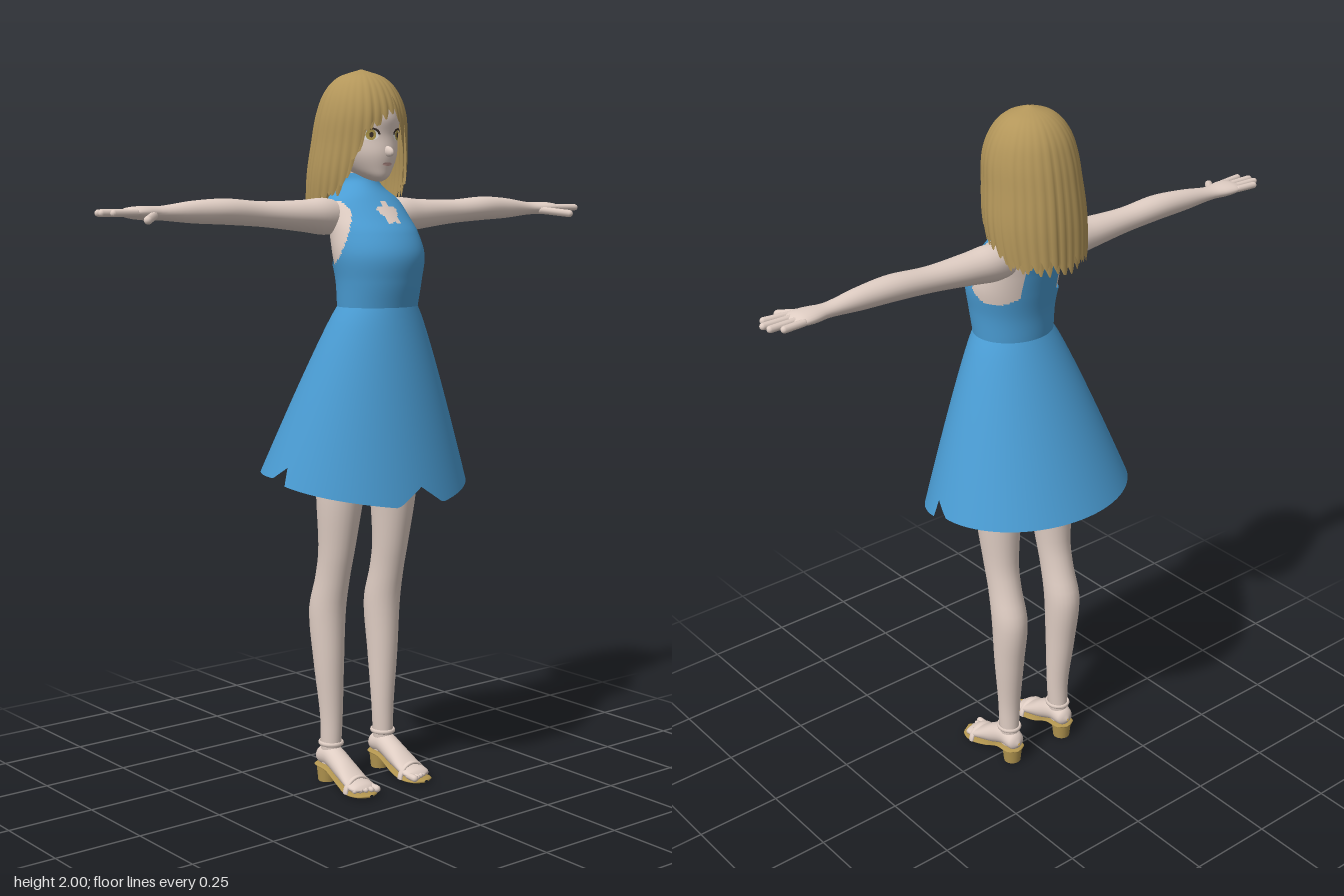
import * as THREE from 'three';

const mat = (name, color, side = THREE.FrontSide) => {
  const m = new THREE.MeshStandardMaterial({ color, side });
  m.name = name;
  return m;
};
const { sin, cos, PI, abs, floor, hypot } = Math;

// Smooth interpolation of rows [key, ...values]
function sample(rows, k) {
  k = Math.min(Math.max(k, rows[0][0]), rows.at(-1)[0]);
  let i = 0;
  while (i < rows.length - 2 && k > rows[i + 1][0]) i++;
  const r = (j) => rows[Math.min(Math.max(j, 0), rows.length - 1)];
  const p = r(i), q = r(i + 1), h = q[0] - p[0], t = (k - p[0]) / h;
  return p.map((_, c) => {
    const m0 = (q[c] - r(i - 1)[c]) / (q[0] - r(i - 1)[0]) * h;
    const m1 = (r(i + 2)[c] - p[c]) / (r(i + 2)[0] - p[0]) * h;
    const d = q[c] - p[c];
    return p[c] + t * (m0 + t * (3 * d - 2 * m0 - m1 + t * (m0 + m1 - 2 * d)));
  });
}
// Straight interpolation of pairs [key, value]
function linear(table, k) {
  let i = 0;
  while (i < table.length - 2 && k > table[i + 1][0]) i++;
  const [a, b] = [table[i], table[i + 1]];
  return THREE.MathUtils.mapLinear(THREE.MathUtils.clamp(k, a[0], b[0]), a[0], b[0], a[1], b[1]);
}
// Closed ring grid: f(column, v) gives a point, skip(x, y, z) leaves a hole
function grid(cols, rings, f, skip) {
  const pos = [], index = [];
  for (let j = 0; j <= rings; j++) for (let i = 0; i < cols; i++) pos.push(...f(i, j / rings));
  for (let j = 0; j < rings; j++) for (let i = 0; i < cols; i++) {
    const n = (i + 1) % cols, a = j * cols + i, b = j * cols + n, c = b + cols, d = a + cols;
    const mid = [0, 1, 2].map((k) => (pos[a * 3 + k] + pos[c * 3 + k]) / 2);
    if (!skip || !skip(...mid)) index.push(a, b, c, a, c, d);
  }
  const g = new THREE.BufferGeometry();
  g.setAttribute('position', new THREE.Float32BufferAttribute(pos, 3));
  g.setIndex(index);
  g.computeVertexNormals();
  return g;
}
// Loft through rows [s, a, b, radiusA, radiusB]
const alongY = (s, p, q) => [p, s, q], alongX = (s, p, q) => [s, q, p], alongZ = (s, p, q) => [-p, q, s];
function loft(rows, place = alongY, cols = 24, rings = 40) {
  const s0 = rows[0][0], s1 = rows.at(-1)[0];
  return grid(cols, rings, (i, v) => {
    const [s, a, b, ra, rb] = sample(rows, s0 + (s1 - s0) * v), t = i / cols * 2 * PI;
    return place(s, a + ra * sin(t), b + rb * cos(t));
  });
}
// Rows [y, half width, front z, back z] to loft rows
const body = (rows, inset = 0) => rows.map(([y, w, f, b]) => [y, 0, (f + b) / 2, w - inset, (f - b) / 2 - inset]);

function mirrored(geo) {
  const g = geo.clone().toNonIndexed().scale(-1, 1, 1);
  for (const at of Object.values(g.attributes)) {
    const n = at.itemSize, a = at.array;
    for (let i = 0; i < a.length; i += 3 * n) for (let k = 0; k < n; k++)
      [a[i + n + k], a[i + 2 * n + k]] = [a[i + 2 * n + k], a[i + n + k]];
  }
  // scaling already mirrors the normals
  return g;
}
function finger(a, b, r) {
  const p = new THREE.Vector3(...a), q = new THREE.Vector3(...b), d = q.clone().sub(p);
  const g = new THREE.CapsuleGeometry(r, d.length() - r, 4, 10);
  g.applyQuaternion(new THREE.Quaternion().setFromUnitVectors(new THREE.Vector3(0, 1, 0), d.clone().normalize()));
  return g.translate(...p.add(q).multiplyScalar(0.5).toArray());
}

const TORSO = [[1.36, 0.116, 0.165, -0.04], [1.43, 0.122, 0.18, -0.045], [1.5, 0.132, 0.186, -0.06],
  [1.56, 0.128, 0.16, -0.075], [1.6, 0.122, 0.125, -0.085], [1.65, 0.105, 0.08, -0.085],
  [1.68, 0.065, 0.055, -0.075], [1.7, 0.044, 0.044, -0.058], [1.72, 0.039, 0.04, -0.05]];
const HEAD = [[1.697, 0.004, 0.075, 0.06], [1.706, 0.026, 0.092, 0.02], [1.73, 0.053, 0.1, -0.04],
  [1.77, 0.077, 0.106, -0.08], [1.82, 0.091, 0.1, -0.105], [1.87, 0.098, 0.102, -0.115],
  [1.93, 0.083, 0.075, -0.095], [1.975, 0.03, 0.02, -0.04], [1.982, 0.003, -0.005, -0.015]];
const HAIR = [[1.56, 0.122, 0.04, -0.165], [1.65, 0.135, 0.08, -0.162], [1.72, 0.138, 0.1, -0.158],
  [1.8, 0.131, 0.11, -0.148], [1.88, 0.122, 0.112, -0.132], [1.94, 0.1, 0.09, -0.108],
  [1.98, 0.062, 0.05, -0.068], [2.0, 0.003, -0.005, -0.012]];
// Lower edge of the hair by angle from the front
const FRINGE = [[-PI, 1.59], [-1.9, 1.6], [-1.4, 1.64], [-0.95, 1.67], [-0.75, 1.73], [-0.55, 1.81], [-0.3, 1.845],
  [0, 1.865], [0.2, 1.89], [0.45, 1.85], [0.62, 1.8], [0.75, 1.73], [0.95, 1.67], [1.4, 1.64], [1.9, 1.6], [PI, 1.59]];
const HEM = [[0, 0.88], [0.24, 0.83], [1.4, 0.885], [1.43, 0.935], [1.62, 0.9], [PI, 0.9]];

export function createModel() {
  const root = new THREE.Group();
  root.name = 'womanInDress';
  const skin = mat('skin', 0xe0cec4), hair = mat('hair', 0xb3965a, THREE.DoubleSide);
  const blue = mat('dressBlue', 0x4a9cd3, THREE.DoubleSide), tan = mat('shoeTan', 0xb39650);
  const white = mat('eyeWhite', 0xf0eeea), gold = mat('irisGold', 0xb09a4c);
  const dark = mat('lashDark', 0x3b2f28), lip = mat('lips', 0xc79f98);
  const add = (name, geo, m) => {
    const mesh = new THREE.Mesh(geo, m);
    mesh.name = name;
    root.add(mesh);
  };
  const pair = (name, geo, m) => {
    add(name + 'Left', geo, m);
    add(name + 'Right', mirrored(geo), m);
  };

  // Body under the dress, neck and head
  add('torso', loft(body([[1.0, 0.02, 0.06, 0.0], [1.04, 0.11, 0.1, -0.06], [1.15, 0.14, 0.125, -0.07], ...TORSO], 0.005), alongY, 48, 70), skin);
  add('neck', loft([[1.62, 0, -0.005, 0.038, 0.04], [1.7, 0, -0.005, 0.034, 0.038], [1.78, 0, 0, 0.04, 0.045]]), skin);
  add('head', loft(body(HEAD), alongY, 40, 50), skin);

  // Face, laid onto the head surface
  const faceZ = (x, y) => {
    const [, w, f, b] = sample(HEAD, y);
    return (f + b) / 2 + (f - b) / 2 * Math.sqrt(Math.max(0, 1 - (x / w) ** 2));
  };
  const onFace = (geo, x, y, sx, sy, lift) => {
    geo.scale(sx, sy, 1).translate(x, y, 0);
    const p = geo.attributes.position;
    for (let i = 0; i < p.count; i++) p.setZ(i, faceZ(p.getX(i), p.getY(i)) + lift);
    geo.computeVertexNormals();
    return geo;
  };
  const disc = () => new THREE.CircleGeometry(1, 20);
  pair('eyeWhite', onFace(disc(), 0.046, 1.822, 0.021, 0.015, 0.002), white);
  pair('iris', onFace(disc(), 0.045, 1.822, 0.012, 0.0145, 0.0035), gold);
  pair('pupil', onFace(disc(), 0.045, 1.822, 0.005, 0.007, 0.005), dark);
  pair('lash', onFace(new THREE.RingGeometry(0.82, 1.1, 16, 1, 0.1, PI - 0.2), 0.046, 1.821, 0.022, 0.018, 0.005), dark);
  add('mouth', onFace(disc(), 0, 1.744, 0.016, 0.005, 0.003), lip);
  add('nose', new THREE.SphereGeometry(1, 14, 10).scale(0.009, 0.014, 0.022).rotateX(0.25).translate(0, 1.778, 0.108), skin);

  // Hair: two layers of rippled locks with pointed tips
  const hairLayer = (scale, phase, drop) => grid(160, 36, (i, v) => {
    const t = (i / 160) * 2 * PI - PI, lock = floor((i + phase) / 5) % 32;
    const frac = ((i + phase) % 5) / 5, rnd = abs(sin(lock * 12.99 + phase) * 43758.5) % 1;
    const low = linear(FRINGE, t) + drop + 0.03 * abs(2 * frac - 1) + 0.022 * (rnd - 0.5);
    const [y, w, f, b] = sample(HAIR, low + (2 - low) * sin(v * PI / 2));
    const r = scale * (1 + (1 - v) * (0.03 * sin(frac * PI) + 0.03 * (rnd - 0.5)));
    return [w * r * sin(t), y - (1 - scale) * 0.15, (f + b) / 2 + (f - b) / 2 * r * cos(t)];
  });
  add('hairOuter', hairLayer(1, 0, 0), hair);
  add('hairInner', hairLayer(0.93, 3, 0.005), hair);

  // Bodice with armholes and flower-shaped openings front and back
  const flower = (x, y) => hypot(x, y) < 0.029 + 0.006 * cos(5 * Math.atan2(x, y));
  const opening = (x, y, z) => (abs(x) > 0.06 && ((z - 0.008) / 0.078) ** 2 + ((y - 1.56) / 0.087) ** 2 < 1)
    || (z > 0.03 && flower(x, y - 1.612)) || (z < -0.03 && flower(x * 0.8, y - 1.62));
  add('bodice', grid(144, 72, (i, v) => {
    const [y, w, f, b] = sample(TORSO, 1.36 + 0.36 * v), t = i / 144 * 2 * PI;
    return [w * sin(t), y, (f + b) / 2 + (f - b) / 2 * cos(t)];
  }, opening), blue);

  // Flared skirt with split, uneven hem
  add('skirt', grid(144, 20, (i, v) => {
    const t = i / 144 * 2 * PI, low = linear(HEM, t > PI ? 2 * PI - t : t);
    const y = low + (1.36 - low) * v, d = 1.36 - y;
    const w = 0.116 + 0.2 * (d / 0.5) ** 0.87, f = 0.165 + 0.18 * d, b = -0.04 - 0.467 * d;
    return [w * sin(t), y, (f + b) / 2 + (f - b) / 2 * cos(t)];
  }), blue);

  // Arms, palms and fingers
  pair('arm', loft([[0.06, 1.6, -0.01, 0.04, 0.04], [0.13, 1.604, -0.01, 0.05, 0.05], [0.2, 1.606, -0.01, 0.047, 0.043],
    [0.33, 1.612, -0.012, 0.037, 0.034], [0.45, 1.62, -0.012, 0.038, 0.034], [0.55, 1.62, -0.016, 0.031, 0.029],
    [0.65, 1.618, -0.02, 0.025, 0.018], [0.7, 1.619, -0.02, 0.038, 0.018], [0.74, 1.62, -0.02, 0.04, 0.013],
    [0.755, 1.62, -0.02, 0.03, 0.005]].map(([s, y, z, rz, ry]) => [s, z, y, rz, ry]), alongX), skin);
  [[-0.051, -0.056, 0.797], [-0.03, -0.033, 0.822], [-0.009, -0.008, 0.826], [0.011, 0.02, 0.808]].forEach(([z0, z1, tip], i) =>
    pair('finger' + (i + 1), finger([0.73, 1.62, z0], [tip, 1.62, z1], 0.0095), skin));
  pair('thumb', finger([0.675, 1.613, 0.0], [0.738, 1.602, 0.07], 0.011), skin);

  // Legs
  pair('leg', loft([[0.055, 0.096, -0.03, 0.024, 0.03], [0.12, 0.095, -0.028, 0.028, 0.032], [0.2, 0.094, -0.028, 0.032, 0.034],
    [0.35, 0.098, -0.034, 0.042, 0.046], [0.5, 0.099, -0.038, 0.049, 0.057], [0.6, 0.098, -0.015, 0.046, 0.053],
    [0.68, 0.097, 0.002, 0.049, 0.055], [0.85, 0.094, 0.016, 0.064, 0.074], [1.0, 0.078, 0.02, 0.074, 0.085],
    [1.12, 0.07, 0.025, 0.066, 0.08]]), skin);

  // Feet and toes
  pair('foot', loft([[-0.076, -0.096, 0.07, 0.004, 0.005], [-0.066, -0.096, 0.073, 0.025, 0.024], [-0.02, -0.096, 0.078, 0.031, 0.034],
    [0.04, -0.097, 0.052, 0.035, 0.032], [0.1, -0.099, 0.026, 0.041, 0.017], [0.13, -0.099, 0.021, 0.037, 0.011],
    [0.138, -0.099, 0.02, 0.02, 0.004]], alongZ), skin);
  for (let i = 0; i < 5; i++)
    pair('toe' + (i + 1), finger([0.069 + i * 0.015, 0.02, 0.115], [0.069 + i * 0.0155, 0.018, 0.153 - i * 0.006], i ? 0.0075 : 0.01), skin);

  // Sandals: curved sole, block heel and straps
  pair('sole', loft([[-0.08, -0.097, 0.048, 0.005, 0.003], [-0.065, -0.097, 0.048, 0.03, 0.006], [-0.01, -0.097, 0.042, 0.033, 0.006],
    [0.05, -0.097, 0.014, 0.036, 0.006], [0.1, -0.1, 0.006, 0.045, 0.006], [0.145, -0.1, 0.006, 0.035, 0.006],
    [0.162, -0.1, 0.007, 0.006, 0.004]], alongZ), tan);
  pair('heel', new THREE.CylinderGeometry(0.03, 0.025, 0.048, 20).translate(0.097, 0.024, -0.045), tan);
  pair('toeStrap', new THREE.TorusGeometry(0.043, 0.005, 8, 24, PI).scale(1, 0.95, 2).translate(0.099, 0.006, 0.098), skin);
  pair('ankleStrap', new THREE.TorusGeometry(0.031, 0.004, 8, 28).rotateX(PI / 2).scale(1, 1.6, 1.12).translate(0.095, 0.115, -0.028), skin);
  return root;
}
